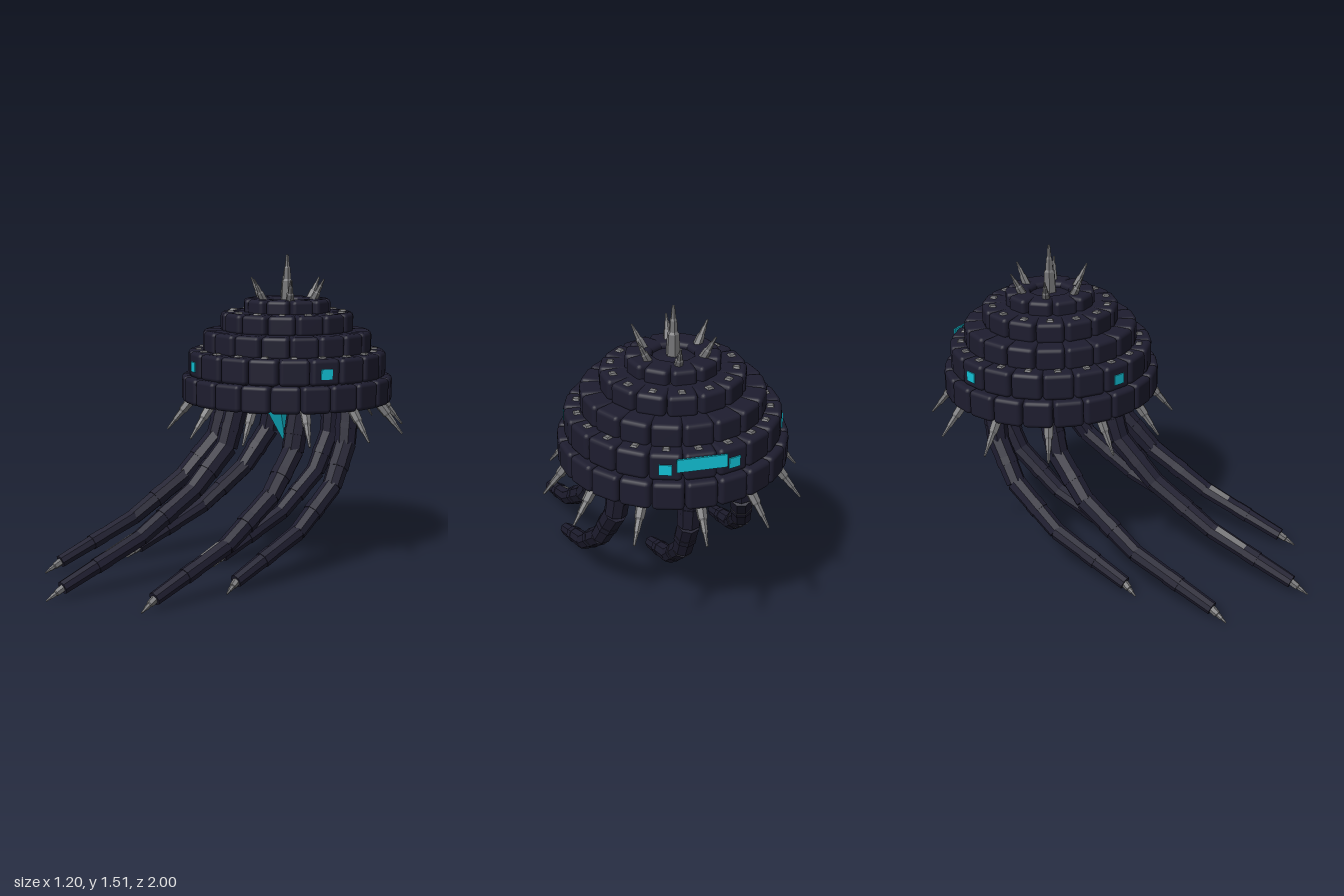
import * as THREE from 'three';
import { RoundedBoxGeometry } from 'three/addons/geometries/RoundedBoxGeometry.js';

const CZ = -0.4; // z of the dome axis
const RAD = Math.PI / 180;

function material(name, color) {
  const m = new THREE.MeshStandardMaterial({ color });
  m.name = name;
  return m;
}

// facet a geometry
function flat(geometry) {
  const g = geometry.index ? geometry.toNonIndexed() : geometry;
  g.computeVertexNormals();
  return g;
}

// point at angle a (degrees, 0 = front, 90 = +x) around the dome axis
const polar = (a, r, y, dz = 0) =>
  new THREE.Vector3(r * Math.sin(a * RAD), y, CZ + dz + r * Math.cos(a * RAD));

const lathe = (points, sides, start = 0) =>
  flat(new THREE.LatheGeometry(points.map(([x, y]) => new THREE.Vector2(x, y)), sides, start));

// unit-high eight-sided tube standing on y = 0
const tube = (top, bottom) =>
  flat(new THREE.CylinderGeometry(top, bottom, 1, 8).translate(0, 0.5, 0));

export function createModel() {
  const model = new THREE.Group();
  const dark = material('midnight plate', 0x1e1d2f);
  const grey = material('grey metal', 0x747476);
  const cyan = material('cyan glow', 0x12c3d8);

  function add(name, geometry, mat, parent = model) {
    const mesh = new THREE.Mesh(geometry, mat);
    mesh.name = name;
    parent.add(mesh);
    return mesh;
  }

  function group(name) {
    const g = new THREE.Group();
    g.name = name;
    model.add(g);
    return g;
  }

  // stretch a unit-high part (base at y = 0) from a to b
  function span(mesh, a, b, radius = 1) {
    const d = b.clone().sub(a);
    mesh.position.copy(a);
    mesh.scale.set(radius, d.length(), radius);
    mesh.quaternion.setFromUnitVectors(new THREE.Vector3(0, 1, 0), d.normalize());
    return mesh;
  }

  // stepped hollow dome: tiers of rounded blocks, some topped with studs
  const tiers = [
    { n: 22, r: 0.52, y0: 0.80, y1: 0.93, depth: 0.16, turn: 0 },
    { n: 20, r: 0.487, y0: 0.925, y1: 1.052, depth: 0.16, turn: 0, studs: 0.436 },
    { n: 18, r: 0.415, y0: 1.04, y1: 1.15, depth: 0.16, turn: 1.7 },
    { n: 14, r: 0.325, y0: 1.14, y1: 1.24, depth: 0.15, turn: -6.6, studs: 0.28 },
    { n: 10, r: 0.212, y0: 1.225, y1: 1.305, depth: 0.12, turn: 0 },
  ];
  const studGeo = flat(new THREE.CylinderGeometry(0.016, 0.027, 0.014, 4).rotateY(Math.PI / 4));
  tiers.forEach((t, i) => {
    const tier = group('domeTier' + (i + 1));
    const width = (2 * Math.PI * (t.r - 0.035)) / t.n;
    const block = new RoundedBoxGeometry(width, t.y1 - t.y0, t.depth, 2, 0.02);
    for (let k = 0; k < t.n; k++) {
      const a = t.turn + (360 * k) / t.n;
      const b = add('domeBlock', block, dark, tier);
      b.position.copy(polar(a, t.r - t.depth / 2, (t.y0 + t.y1) / 2));
      b.rotation.y = a * RAD;
      if (t.studs) {
        const s = add('stud', studGeo, grey, tier);
        s.position.copy(polar(a, t.studs, t.y1 + 0.001));
        s.rotation.y = a * RAD;
      }
    }
  });

  // cap closing the top of the dome
  add('domeCap', lathe([[0, 1.2], [0.2, 1.2], [0.15, 1.27], [0, 1.295]], 12), dark).position.z = CZ;

  // spikes: two stacked tapers with a blunt tip
  const spikeGeo = lathe([[0, 0], [1, 0], [0.82, 0.46], [0.6, 0.5], [0.5, 0.72],
    [0.36, 0.76], [0.2, 1], [0, 1]], 6);
  const spike = (name, a, b, r, parent) => span(add(name, spikeGeo, grey, parent), a, b, r);
  const crown = group('crownSpikes');
  spike('centreSpike', polar(0, 0, 1.28), polar(0, 0, 1.52), 0.034, crown);
  for (let k = 0; k < 6; k++) {
    const a = 175 - 60 * k;
    spike('crownSpike', polar(a, 0.13, 1.28), polar(a, 0.197, 1.403), 0.022, crown);
  }
  const rim = group('rimSpikes');
  for (let k = 0; k < 12; k++) {
    spike('rimSpike', polar(30 * k, 0.455, 0.835), polar(30 * k, 0.597, 0.663), 0.027, rim);
  }

  // windows on the second tier
  const windows = group('windows');
  const pane = new THREE.BoxGeometry(0.056, 0.048, 0.008);
  const rearPane = new THREE.BoxGeometry(0.22, 0.06, 0.009);
  for (const a of [-18, 72, 162, -162, -108, 180]) {
    const w = add('window', a === 180 ? rearPane : pane, cyan, windows);
    w.position.copy(a === 180 ? polar(a, 0.496, 1.012) : polar(a, 0.489, 0.982));
    w.rotation.y = a * RAD;
  }

  // hanging crystal
  add('crystal', lathe([[0, 0.565], [0.11, 0.765], [0, 0.965]], 6, Math.PI / 2 + 0.08), cyan)
    .position.z = CZ;

  // six tentacles sweeping forward: [spread radius, y, forward shift]
  const path = [[0.32, 0.782, 0], [0.34, 0.60, 0.04], [0.39, 0.41, 0.19],
    [0.43, 0.225, 0.46], [0.455, 0.06, 0.86], [0.47, 0.014, 0.93]];
  const radii = [0.056, 0.054, 0.048, 0.041, 0.032];
  for (let k = 0; k < 6; k++) {
    const tentacle = group('tentacle' + (k + 1));
    const pts = path.map(([r, y, dz]) => polar(60 * k, r, y, dz));
    const along = (j, t) => pts[j].clone().lerp(pts[j + 1], t);
    for (let j = 0; j < 4; j++) {
      span(add('tentacleSegment', tube(radii[j + 1], radii[j]), dark, tentacle), pts[j], pts[j + 1]);
      // collar around the middle of the segment
      const r = (radii[j] + radii[j + 1]) / 2 + 0.003;
      span(add('tentacleCollar', tube(r, r), dark, tentacle), along(j, 0.42), along(j, 0.58));
    }
    // grey scale on one facet of the two leading tentacles
    if (k < 2) {
      const scale = flat(new THREE.CylinderGeometry(0.0385, 0.0415, 1, 1, 1, true, Math.PI, Math.PI / 4)
        .translate(0, 0.5, 0));
      span(add('tentacleScale', scale, grey, tentacle), along(3, 0.05), along(3, k ? 0.3 : 0.41));
    }
    spike('claw', along(3, 0.97), pts[5], 0.02, tentacle);
  }

  return model;
}
